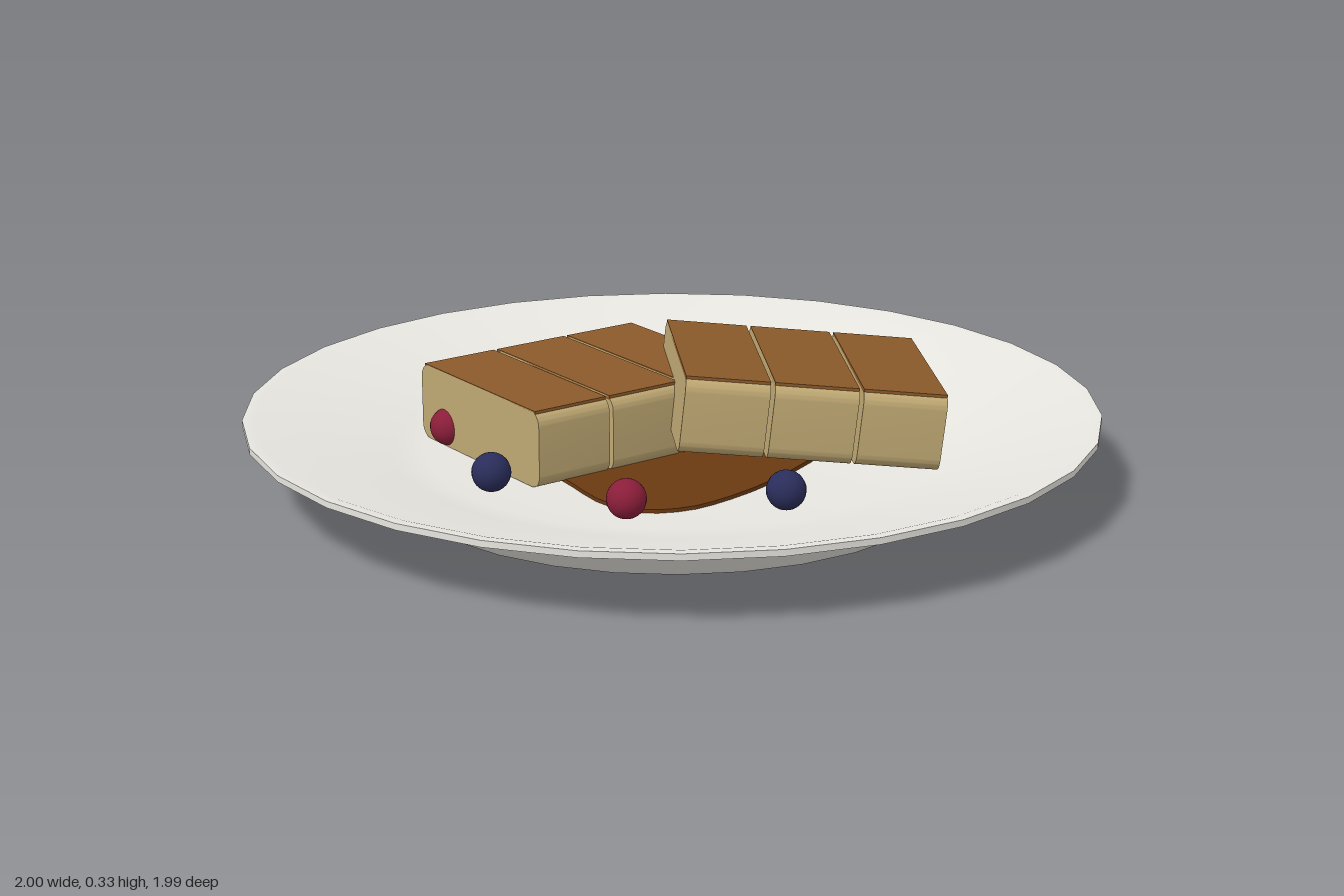
import * as THREE from 'three';
import { toCreasedNormals } from 'three/addons/utils/BufferGeometryUtils.js';

const mat = (color, side = THREE.FrontSide) => new THREE.MeshStandardMaterial({ color, side });
const plateMat = mat(0xe8e6e0, THREE.DoubleSide);
const cakeMat = mat(0xbfa873);
const glazeMat = mat(0x8b5a2b);
const sauceMat = mat(0x6b3a12);
const redMat = mat(0x8b1e3a);
const blueMat = mat(0x2a2d5a);

function add(parent, name, geometry, material, x = 0, y = 0, z = 0) {
  const mesh = new THREE.Mesh(geometry, material);
  mesh.name = name;
  mesh.position.set(x, y, z);
  parent.add(mesh);
  return mesh;
}

// Cake slice cross-section: rectangle with rounded long edges
function roundedRect(w, h, r) {
  const x = w / 2, y = h / 2, s = new THREE.Shape();
  s.moveTo(-x + r, -y);
  s.lineTo(x - r, -y);
  s.absarc(x - r, -y + r, r, -Math.PI / 2, 0);
  s.lineTo(x, y - r);
  s.absarc(x - r, y - r, r, 0, Math.PI / 2);
  s.lineTo(-x + r, y);
  s.absarc(-x + r, y - r, r, Math.PI / 2, Math.PI);
  s.lineTo(-x, -y + r);
  s.absarc(-x + r, -y + r, r, Math.PI, Math.PI * 1.5);
  return s;
}

// A cake bar of three slices with narrow gaps, each with a glazed top
function cakeBar(name) {
  const width = 0.5, height = 0.18, length = 0.193, pitch = 0.203;
  const bar = new THREE.Group();
  bar.name = name;
  const extruded = new THREE.ExtrudeGeometry(roundedRect(width, height, 0.032), {
    depth: length, bevelEnabled: false, curveSegments: 5,
  });
  extruded.translate(0, 0, -length / 2).rotateY(Math.PI / 2);
  const slice = toCreasedNormals(extruded, 0.6);
  const glaze = new THREE.BoxGeometry(length, 0.01, width - 0.03);
  for (let i = -1; i <= 1; i++) {
    add(bar, 'cakeSlice', slice, cakeMat, i * pitch);
    add(bar, 'glaze', glaze, glazeMat, i * pitch, height / 2 - 0.003);
  }
  return bar;
}

export function createModel() {
  const model = new THREE.Group();
  model.name = 'platedDessert';

  // Plate: foot, sloping underside, thin rim and shallow well
  const profile = [
    [0, 0], [0.66, 0], [0.71, 0.05], [1, 0.16], [1, 0.175],
    [0.975, 0.174], [0.66, 0.082], [0.58, 0.072], [0, 0.07],
  ].map(([x, y]) => new THREE.Vector2(x, y));
  const plate = new THREE.LatheGeometry(profile, 30);
  plate.rotateY(Math.PI / 2);
  add(model, 'plate', toCreasedNormals(plate, 0.9), plateMat);

  // Sauce pool lying in the well (drawn as x, -z)
  const outline = [
    [-0.31, 0.2], [-0.28, 0.34], [-0.22, 0.42], [-0.12, 0.44], [0, 0.4], [0.15, 0.31],
    [0.33, 0.15], [0.41, 0], [0.39, -0.13], [0.31, -0.29], [0.2, -0.4], [0.06, -0.42],
    [-0.1, -0.43], [-0.22, -0.38], [-0.3, -0.25], [-0.34, 0],
  ].map(([x, z]) => new THREE.Vector3(x, -z, 0));
  const edge = new THREE.CatmullRomCurve3(outline, true).getPoints(40);
  const pool = new THREE.Shape(edge.slice(0, -1).map((p) => new THREE.Vector2(p.x, p.y)));
  const sauce = new THREE.ExtrudeGeometry(pool, { depth: 0.012, bevelEnabled: false });
  sauce.rotateX(-Math.PI / 2);
  add(model, 'sauce', sauce, sauceMat, 0, 0.068, 0);

  // Two cake bars, the second leaning on the first
  const lowerBar = cakeBar('lowerCakeBar');
  lowerBar.position.set(-0.175, 0.163, -0.12);
  lowerBar.rotation.y = 0.3;
  const leaningBar = cakeBar('leaningCakeBar');
  leaningBar.position.set(0.277, 0.203, 0.105);
  leaningBar.rotation.set(0, -0.24, -0.105);
  model.add(lowerBar, leaningBar);

  // Berries scattered around the cake
  const berry = new THREE.SphereGeometry(0.045, 20, 14);
  const scatter = (name, material, spots) =>
    spots.forEach(([x, z]) => add(model, name, berry, material, x, 0.118, z));
  scatter('blueBerry', blueMat, [[-0.265, -0.45], [0.39, -0.34], [-0.49, 0.175], [0.09, 0.505]]);
  scatter('redBerry', redMat, [[0.085, -0.515], [-0.26, 0.445], [-0.495, -0.18]]);

  return model;
}
